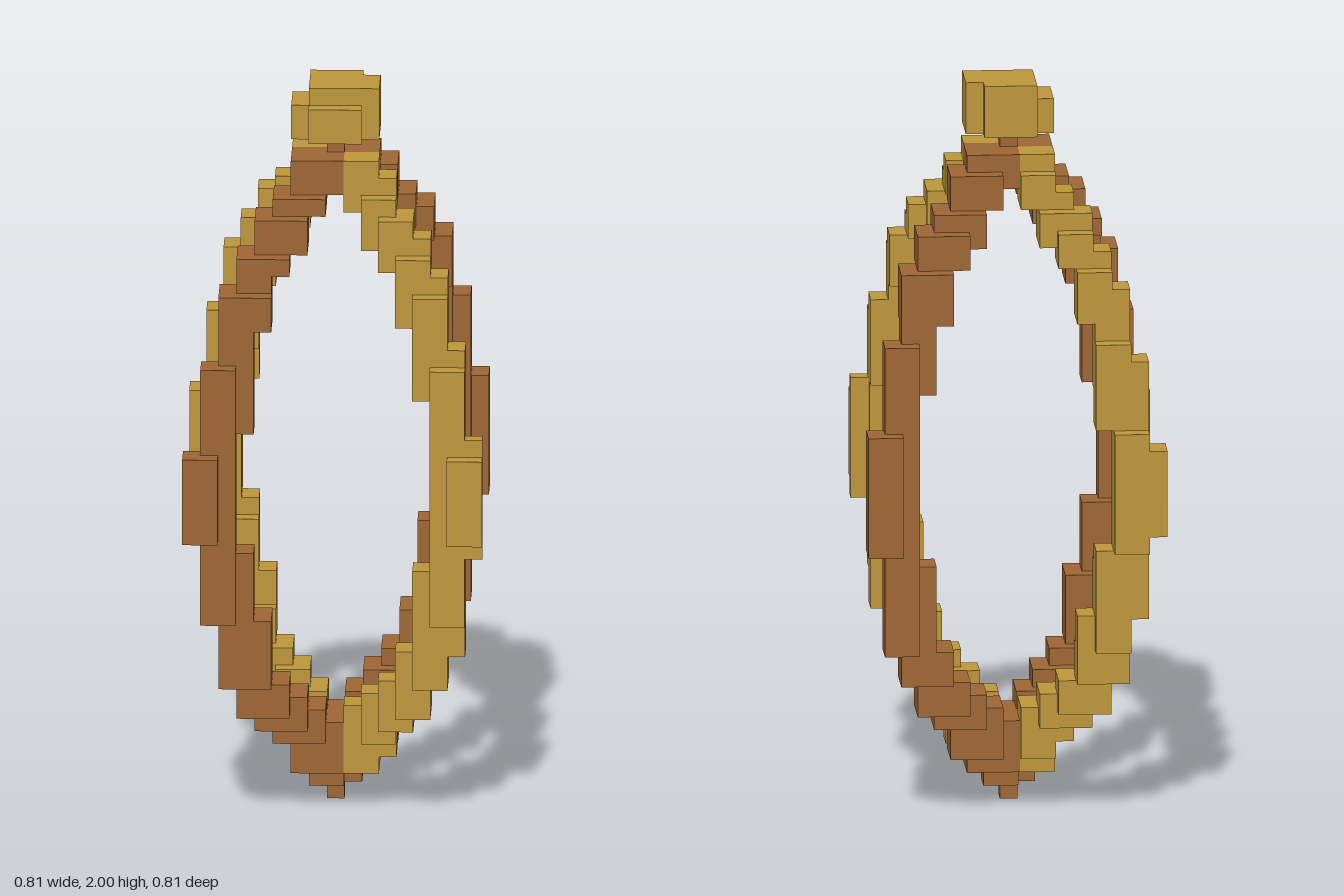
import * as THREE from 'three';
import { mergeGeometries } from 'three/addons/utils/BufferGeometryUtils.js';

const ROWS = 42;
const U = 2 / ROWS; // edge of one block

// Each profile lists, for radius 0, 1, 2..., the first row and the row after the last.
const OUTER_NEAR = { from: [0, 1, 2, 4, 5, 6, 8, 12, 17], to: [39, 38, 38, 36, 35, 33, 31, 27, 22] };
const OUTER_FAR = { from: [0, 1, 2, 3, 5, 6, 8, 10, 16], to: [39, 38, 38, 37, 35, 34, 32, 28, 23] };
const INNER_NEAR = { from: [0, 5, 6, 7, 8, 12, 16], to: [39, 36, 35, 33, 32, 29, 23] };
const INNER_FAR = { from: [0, 5, 6, 7, 8, 10, 15], to: [39, 36, 35, 33, 32, 29, 25] };

function radiusAt(profile, row) {
  let r = 0;
  profile.from.forEach((f, k) => { if (row >= f && row < profile.to[k]) r = k; });
  return r;
}

// Turns a test for filled blocks into one geometry of upright bars.
function blocks(filled) {
  const bars = [];
  for (let x = -8; x <= 8; x++) {
    for (let z = -8; z <= 8; z++) {
      let start = -1;
      for (let row = 0; row <= ROWS; row++) {
        const on = row < ROWS && filled(x, row, z);
        if (on && start < 0) start = row;
        if (!on && start >= 0) {
          const bar = new THREE.BoxGeometry(U, (row - start) * U, U);
          bars.push(bar.translate(x * U, (row + start) / 2 * U, z * U));
          start = -1;
        }
      }
    }
  }
  return mergeGeometries(bars);
}

// One bowed rib in the quadrant (sx, sz); low and high limit its skew off the diagonal.
function ribTest(sx, sz, low, high) {
  const [outX, inX] = sx > 0 ? [OUTER_FAR, INNER_FAR] : [OUTER_NEAR, INNER_NEAR];
  const [outZ, inZ] = sz < 0 ? [OUTER_FAR, INNER_FAR] : [OUTER_NEAR, INNER_NEAR];
  return (x, row, z) => {
    const a = x * sx, b = z * sz, skew = b - a;
    if (row >= 39 || a < 0 || b < 0 || skew < low || skew > high) return false;
    if (sx !== sz && a + b >= 12 && Math.abs(skew) > 1) return false;
    if (a === 8 && b === 6) return false;
    return a >= radiusAt(inX, row) && a <= radiusAt(outX, row) &&
      b >= radiusAt(inZ, row) && b <= radiusAt(outZ, row);
  };
}

export function createModel() {
  const gold = new THREE.MeshStandardMaterial({ color: 0xc0983c });
  gold.name = 'gold';
  const brown = new THREE.MeshStandardMaterial({ color: 0xa06735 });
  brown.name = 'brown';

  const model = new THREE.Group();
  model.name = 'ribbedLantern';
  const add = (name, test, material) => {
    const mesh = new THREE.Mesh(blocks(test), material);
    mesh.name = name;
    model.add(mesh);
  };

  // Brown ribs own the shared middle and the bottom point
  const frontRight = ribTest(-1, 1, -2, 2);
  const backLeft = ribTest(1, -1, -2, 2);
  const tip = (x, row, z) => row < 2 && Math.abs(x) + Math.abs(z) <= row;
  add('bottomPoint', tip, brown);
  add('frontRightRib', (x, r, z) => r >= 1 && !tip(x, r, z) && frontRight(x, r, z), brown);
  add('backLeftRib', (x, r, z) => r >= 1 && !tip(x, r, z) && !frontRight(x, r, z) && backLeft(x, r, z), brown);

  // Gold ribs fill the other two quadrants
  const frontLeft = ribTest(1, 1, -2, 1);
  const backRight = ribTest(-1, -1, -1, 2);
  add('frontLeftRib', (x, r, z) => r >= 2 && x > 0 && z > 0 && frontLeft(x, r, z), gold);
  add('backRightRib', (x, r, z) => r >= 2 && x < 0 && z < 0 && backRight(x, r, z), gold);

  // Rounded cap, its top layer set one block off centre
  add('cap', (x, r, z) => {
    if (r < 39) return false;
    if (r < 41) return Math.abs(x) <= 2 && Math.abs(z) <= 2 && Math.abs(x) + Math.abs(z) < 4;
    return x >= -1 && x <= 2 && z >= -2 && z <= 1 && !(x === 2 && z === -2);
  }, gold);

  return model;
}
